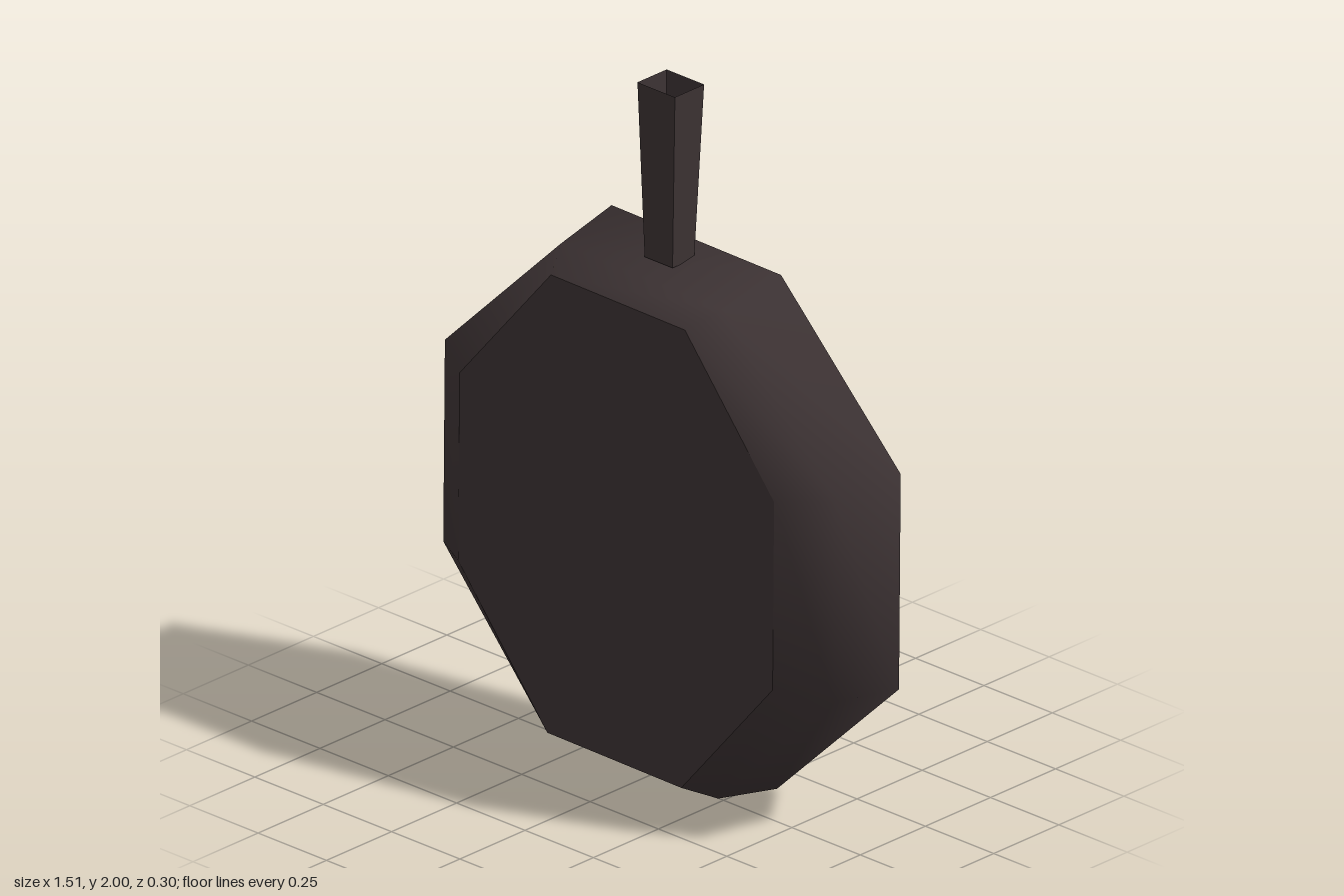
import * as THREE from 'three';

const CENTER_Y = 0.758;

// Octagon ring: half extents ax, ay and corner offsets bx, by, at depth z (counter-clockwise from the front)
function octagon(ax, ay, bx, by, z) {
  const corners = [[ax, -by], [ax, by], [bx, ay], [-bx, ay], [-ax, by], [-ax, -by], [-bx, -ay], [bx, -ay]];
  return corners.map(([x, y]) => [x, y, z]);
}

// Horizontal rectangle ring at height y
function rectangle(x0, x1, z0, z1, y) {
  return [[x0, y, z1], [x1, y, z1], [x1, y, z0], [x0, y, z0]];
}

// Skin between successive closed rings
function loft(rings, flat = false) {
  const n = rings[0].length;
  const index = [];
  for (let r = 0; r < rings.length - 1; r++) {
    for (let i = 0; i < n; i++) {
      const j = (i + 1) % n;
      const a = r * n + i, b = r * n + j, c = b + n, d = a + n;
      index.push(a, b, c, a, c, d);
    }
  }
  let geometry = new THREE.BufferGeometry();
  geometry.setAttribute('position', new THREE.Float32BufferAttribute(rings.flat(2), 3));
  geometry.setIndex(index);
  if (flat) geometry = geometry.toNonIndexed();
  geometry.computeVertexNormals();
  return geometry;
}

export function createModel() {
  const iron = new THREE.MeshStandardMaterial({ color: 0x3d3334, side: THREE.DoubleSide });
  iron.name = 'dark iron';
  const red = new THREE.MeshStandardMaterial({ color: 0x642b2b });
  red.name = 'dull red';

  const model = new THREE.Group();
  model.name = 'fryingPan';
  const pan = new THREE.Group();
  pan.name = 'pan';
  pan.position.y = CENTER_Y;
  pan.rotation.z = -0.01;
  model.add(pan);

  const add = (parent, name, geometry, material) => {
    const mesh = new THREE.Mesh(geometry, material);
    mesh.name = name;
    parent.add(mesh);
    return mesh;
  };

  // Rings of the pan's cross-section
  const rim = octagon(0.752, 0.752, 0.31, 0.315, -0.15);
  const shoulder = octagon(0.715, 0.715, 0.295, 0.295, 0.06);
  const base = octagon(0.575, 0.67, 0.245, 0.275, 0.15);
  const innerRim = octagon(0.712, 0.712, 0.295, 0.295, -0.15);
  const innerShoulder = octagon(0.66, 0.665, 0.275, 0.275, 0.035);
  const floor = octagon(0.53, 0.62, 0.225, 0.255, 0.1);

  // Pan body
  add(pan, 'outerWall', loft([rim, shoulder, base]), iron);
  add(pan, 'base', loft([base, octagon(0, 0, 0, 0, 0.15)]), iron);
  add(pan, 'rimLip', loft([innerRim, rim]), iron);
  add(pan, 'innerWall', loft([floor, innerShoulder, innerRim]), iron);
  add(pan, 'cookingFloor', loft([octagon(0, 0, 0, 0, 0.1), floor]), iron);

  // Heat spot on the cooking floor
  const spot = add(pan, 'heatSpot', new THREE.CircleGeometry(0.137, 32), red);
  spot.rotation.y = Math.PI;
  spot.position.z = 0.095;

  // Hollow tapered handle, open at the top
  add(model, 'handle', loft([
    rectangle(-0.048, 0.054, -0.093, -0.01, 1.49),
    rectangle(-0.061, 0.076, -0.108, 0.004, 2),
  ], true), iron);

  return model;
}
